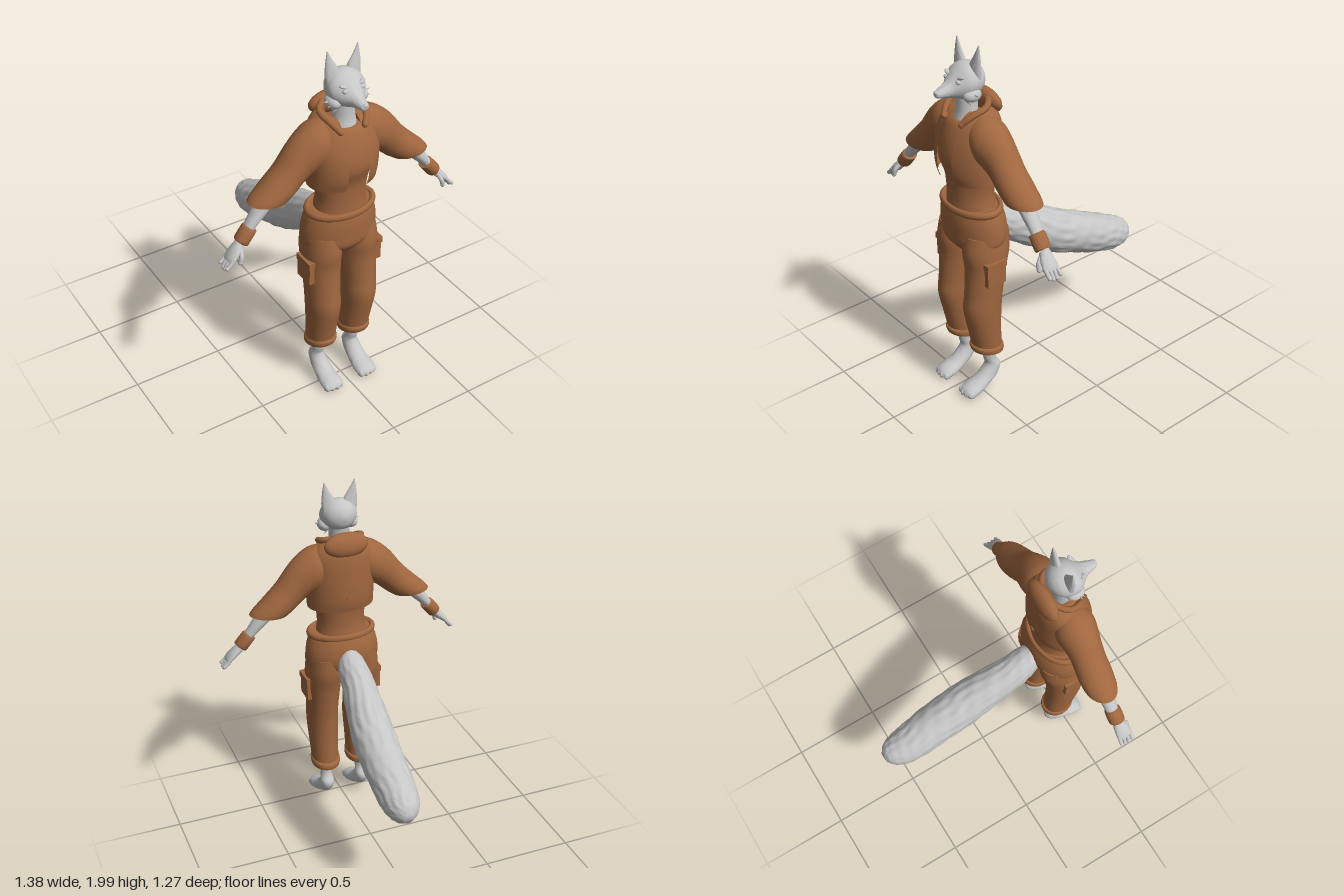
import * as THREE from 'three';
import { toCreasedNormals } from 'three/addons/utils/BufferGeometryUtils.js';

const cloth = new THREE.MeshStandardMaterial({ color: 0xa0673f, side: THREE.DoubleSide });
cloth.name = 'brown cloth';
const fur = new THREE.MeshStandardMaterial({ color: 0xc6c6c6 });
fur.name = 'grey fur';

function add(parent, name, geo, mat) {
  const mesh = new THREE.Mesh(geo, mat);
  mesh.name = name;
  parent.add(mesh);
  return mesh;
}

// Smooth skin over elliptical sections. Each section is [a, y, a, y, middle, radius]:
// the two ends of one diameter in the plane, then the offset and half width across it.
// plane 'zy' spreads across x, plane 'xy' spreads across z.
function loft(sections, { plane = 'zy', side = 1, seg = 28, sub = 4, gap = 0, rough = 0 } = {}) {
  const curve = (f) => new THREE.CatmullRomCurve3(sections.map(f), false, 'catmullrom', 0.5);
  const ca = curve((s) => new THREE.Vector3(s[0], s[1], s[4]));
  const cb = curve((s) => new THREE.Vector3(s[2], s[3], s[5]));
  const n = (sections.length - 1) * sub;
  const pos = [], idx = [], w = seg + 1;
  const put = (u, y, v) => (plane === 'zy' ? pos.push(side * v, y, u) : pos.push(side * u, y, v));
  for (let i = 0; i <= n; i++) {
    const a = ca.getPoint(i / n), b = cb.getPoint(i / n);
    const g = gap ? Math.asin(Math.min(0.9, gap / b.z)) : 0;
    for (let j = 0; j <= seg; j++) {
      const t = g + (j === seg && !gap ? 0 : (j / seg) * (2 * Math.PI - 2 * g));
      const k = 1 + rough * (Math.sin(9 * t + i * 0.55) * Math.sin(5 * t - i * 0.8) + 0.6 * Math.sin(13 * t + 2 * Math.sin(i * 0.45)));
      const c = (Math.cos(t) * k) / 2;
      put((a.x + b.x) / 2 + (a.x - b.x) * c, (a.y + b.y) / 2 + (a.y - b.y) * c, a.z + b.z * Math.sin(t) * k);
    }
  }
  for (let i = 0; i < n; i++)
    for (let j = 0; j < seg; j++) {
      const p = i * w + j;
      idx.push(p, p + 1, p + w, p + 1, p + w + 1, p + w);
    }
  if (!gap)
    for (const [row, s] of [[0, sections[0]], [n, sections[sections.length - 1]]]) {
      const c = pos.length / 3;
      put((s[0] + s[2]) / 2, (s[1] + s[3]) / 2, s[4]);
      for (let j = 0; j < seg; j++) row ? idx.push(row * w + j, row * w + j + 1, c) : idx.push(j + 1, j, c);
    }
  const geo = new THREE.BufferGeometry();
  geo.setAttribute('position', new THREE.Float32BufferAttribute(pos, 3));
  // Turn the faces outward whichever way the sections run.
  geo.computeBoundingBox();
  const mid = geo.boundingBox.getCenter(new THREE.Vector3());
  const pt = (k) => new THREE.Vector3().fromArray(pos, k * 3).sub(mid);
  let volume = 0;
  for (let k = 0; k < idx.length; k += 3) volume += pt(idx[k]).dot(pt(idx[k + 1]).cross(pt(idx[k + 2])));
  if (volume < 0) idx.reverse();
  geo.setIndex(idx);
  return toCreasedNormals(geo, 0.8);
}

function ball(parent, name, p, s, mat = fur) {
  const m = add(parent, name, new THREE.SphereGeometry(1, 20, 14), mat);
  m.position.set(...p);
  m.scale.set(...s);
  return m;
}

function tube(parent, name, pts, r, mat) {
  const curve = new THREE.CatmullRomCurve3(pts.map((p) => new THREE.Vector3(...p)));
  add(parent, name, new THREE.TubeGeometry(curve, 24, r, 10), mat);
  for (const k of [0, pts.length - 1]) ball(parent, name + 'End', pts[k], [r, r, r], mat);
}

function buildHead(g) {
  add(g, 'neck', loft([[.525, 1.59, .40, 1.60, 0, .068], [.51, 1.66, .40, 1.67, 0, .058], [.51, 1.76, .39, 1.77, 0, .055]]), fur);
  add(g, 'head', loft([
    [.362, 1.83, .362, 1.80, 0, .015], [.375, 1.86, .375, 1.765, 0, .05], [.40, 1.885, .40, 1.74, 0, .08],
    [.44, 1.90, .44, 1.722, 0, .098], [.485, 1.89, .49, 1.72, 0, .098], [.522, 1.86, .525, 1.73, 0, .075],
    [.56, 1.825, .56, 1.742, 0, .044], [.60, 1.805, .60, 1.75, 0, .03], [.63, 1.793, .63, 1.758, 0, .02],
    [.638, 1.782, .638, 1.77, 0, .008]]), fur);
  ball(g, 'nose', [0, 1.785, .63], [.014, .011, .011]);
  for (const s of [1, -1]) {
    add(g, 'ear', loft([
      [.097, 1.83, .015, 1.87, .44, .024], [.1, 1.88, .025, 1.90, .44, .019],
      [.096, 1.94, .056, 1.95, .438, .011], [.087, 2, .083, 2, .435, .003]], { plane: 'xy', side: s }), fur);
    ball(g, 'eye', [s * .047, 1.826, .533], [.015, .012, .012]);
    ball(g, 'brow', [s * .05, 1.845, .52], [.024, .009, .014]).rotation.z = s * .4;
    // Tufts of cheek fur fanning outward
    ball(g, 'cheek', [s * .075, 1.755, .475], [.038, .035, .05]);
    for (let i = 0; i < 5; i++) {
      const tuft = add(g, 'cheekTuft', new THREE.ConeGeometry(.014, .055, 7), fur);
      tuft.position.set(s * (.104 - i * .011), 1.765 - i * .012, .48 + (i % 2) * .02);
      tuft.rotation.z = -s * (1.5 + i * .28);
    }
  }
}

function buildClothes(g) {
  add(g, 'shirt', loft([
    [.565, 1.12, .325, 1.12, 0, .145], [.56, 1.2, .335, 1.2, 0, .134], [.565, 1.3, .33, 1.3, 0, .145],
    [.594, 1.4, .315, 1.4, 0, .17], [.582, 1.5, .315, 1.5, 0, .17], [.55, 1.585, .33, 1.6, 0, .14],
    [.53, 1.612, .38, 1.62, 0, .08]]), cloth);
  add(g, 'jacket', loft([
    [.59, 1.295, .31, 1.295, 0, .188], [.607, 1.35, .298, 1.35, 0, .19], [.61, 1.42, .295, 1.42, 0, .194],
    [.597, 1.5, .297, 1.5, 0, .198], [.572, 1.57, .3, 1.57, 0, .19], [.548, 1.62, .31, 1.63, 0, .165],
    [.525, 1.65, .335, 1.67, 0, .125], [.505, 1.66, .37, 1.69, 0, .085]], { gap: .06, seg: 48 }), cloth);
  tube(g, 'collar', [[-.07, 1.615, .54], [-.1, 1.655, .50], [-.115, 1.69, .42], [0, 1.705, .35],
    [.115, 1.69, .42], [.1, 1.655, .50], [.07, 1.615, .54]], .017, cloth);
  ball(g, 'hood', [0, 1.675, .342], [.125, .068, .045], cloth).rotation.x = .25;
  const button = add(g, 'backButton', new THREE.CylinderGeometry(.015, .015, .008, 20), cloth);
  button.position.set(0, 1.38, .294);
  button.rotation.x = Math.PI / 2;

  add(g, 'trouserTop', loft([
    [.57, 1.14, .32, 1.14, 0, .18], [.58, 1.07, .297, 1.07, 0, .202], [.58, 1.0, .29, 1.0, 0, .212],
    [.575, .94, .305, .94, 0, .205], [.54, .89, .34, .89, 0, .15]]), cloth);
  const belt = add(g, 'waistband', new THREE.TorusGeometry(1, .1, 12, 48), cloth);
  belt.rotation.x = Math.PI / 2;
  belt.position.set(0, 1.13, .446);
  belt.scale.set(.181, .124, .2);

  for (const s of [1, -1]) {
    add(g, 'sleeve', loft([
      [.06, 1.655, .08, 1.42, .44, .09], [.15, 1.653, .16, 1.40, .44, .108], [.22, 1.622, .2, 1.38, .44, .1],
      [.29, 1.56, .23, 1.355, .44, .09], [.36, 1.47, .265, 1.325, .44, .088], [.43, 1.40, .29, 1.308, .44, .09],
      [.50, 1.335, .305, 1.297, .44, .087], [.523, 1.308, .31, 1.293, .44, .083]], { plane: 'xy', side: s }), cloth);
    add(g, 'trouserLeg', loft([
      [.56, 1.0, .31, 1.0, .105, .095], [.575, .9, .31, .9, .109, .102], [.565, .8, .335, .8, .112, .1],
      [.575, .65, .36, .65, .113, .091], [.585, .55, .37, .55, .112, .09], [.56, .42, .375, .42, .11, .084],
      [.535, .30, .37, .27, .107, .078]], { side: s }), cloth);
    add(g, 'trouserCuff', loft([
      [.535, .322, .37, .29, .107, .078], [.547, .315, .36, .285, .107, .084], [.547, .297, .357, .265, .107, .086],
      [.54, .28, .36, .25, .107, .083]], { side: s, sub: 2 }), cloth);
    // Cargo pocket with a flap
    for (const [name, w, h, d, y, x] of [['pocket', .03, .125, .115, .795, .206], ['pocketFlap', .034, .035, .125, .85, .209]])
      add(g, name, new THREE.BoxGeometry(w, h, d), cloth).position.set(s * x, y, .46);
  }
}

function buildLimbs(g) {
  for (const s of [1, -1]) {
    const opt = { plane: 'xy', side: s };
    add(g, 'forearm', loft([
      [.42, 1.38, .36, 1.31, .445, .045], [.485, 1.30, .435, 1.245, .447, .043],
      [.545, 1.215, .51, 1.175, .452, .034], [.595, 1.14, .562, 1.11, .457, .028]], opt), fur);
    add(g, 'wristband', loft([
      [.553, 1.212, .497, 1.167, .455, .036], [.563, 1.206, .505, 1.158, .455, .043],
      [.604, 1.158, .546, 1.108, .458, .043], [.61, 1.148, .556, 1.102, .458, .036]], { ...opt, sub: 2 }), cloth);
    add(g, 'palm', loft([
      [.60, 1.14, .57, 1.10, .458, .028], [.635, 1.105, .60, 1.075, .465, .04],
      [.66, 1.072, .63, 1.055, .467, .042], [.668, 1.055, .645, 1.045, .467, .036]], opt), fur);
    for (let i = 0; i < 4; i++) {
      const z = .435 + i * .022, tip = .997 + Math.abs(i - 1.5) * .012;
      tube(g, 'finger', [[s * .64, 1.068, z], [s * .665, 1.04, z], [s * .681, tip + .012, z]], .0105, fur);
    }
    tube(g, 'thumb', [[s * .595, 1.105, .48], [s * .605, 1.075, .507], [s * .613, 1.045, .51]], .012, fur);

    add(g, 'foot', loft([
      [.48, .34, .395, .34, .11, .042], [.475, .21, .405, .2, .11, .033], [.465, .165, .375, .14, .11, .04],
      [.495, .122, .40, .085, .11, .046], [.535, .092, .46, .045, .11, .051], [.58, .075, .535, .012, .11, .058],
      [.61, .058, .59, .008, .11, .054], [.622, .04, .615, .018, .11, .035]], { side: s, rough: .012 }), fur);
    for (let i = 0; i < 4; i++)
      ball(g, 'toe', [s * (.07 + i * .027), .033, .605 - Math.abs(i - 1.3) * .008], [.016, .022, .025]);
  }
}

export function createModel() {
  const model = new THREE.Group();
  model.name = 'clothedFox';
  const part = (name, build) => {
    const g = new THREE.Group();
    g.name = name;
    build(g);
    model.add(g);
  };
  part('headParts', buildHead);
  part('clothes', buildClothes);
  part('limbs', buildLimbs);
  // Bushy tail with streaky fur
  add(model, 'tail', loft([
    [.33, 1.07, .36, .95, 0, .04], [.27, 1.055, .31, .89, 0, .075], [.165, 1.01, .235, .82, 0, .088],
    [0, .935, .09, .725, .015, .104], [-.15, .86, -.06, .635, .028, .117], [-.3, .79, -.21, .575, .035, .115],
    [-.445, .72, -.37, .515, .035, .11], [-.55, .667, -.48, .487, .036, .098], [-.607, .63, -.565, .493, .04, .07],
    [-.63, .585, -.617, .525, .042, .03]], { seg: 72, sub: 7, rough: .025 }), fur);
  return model;
}
